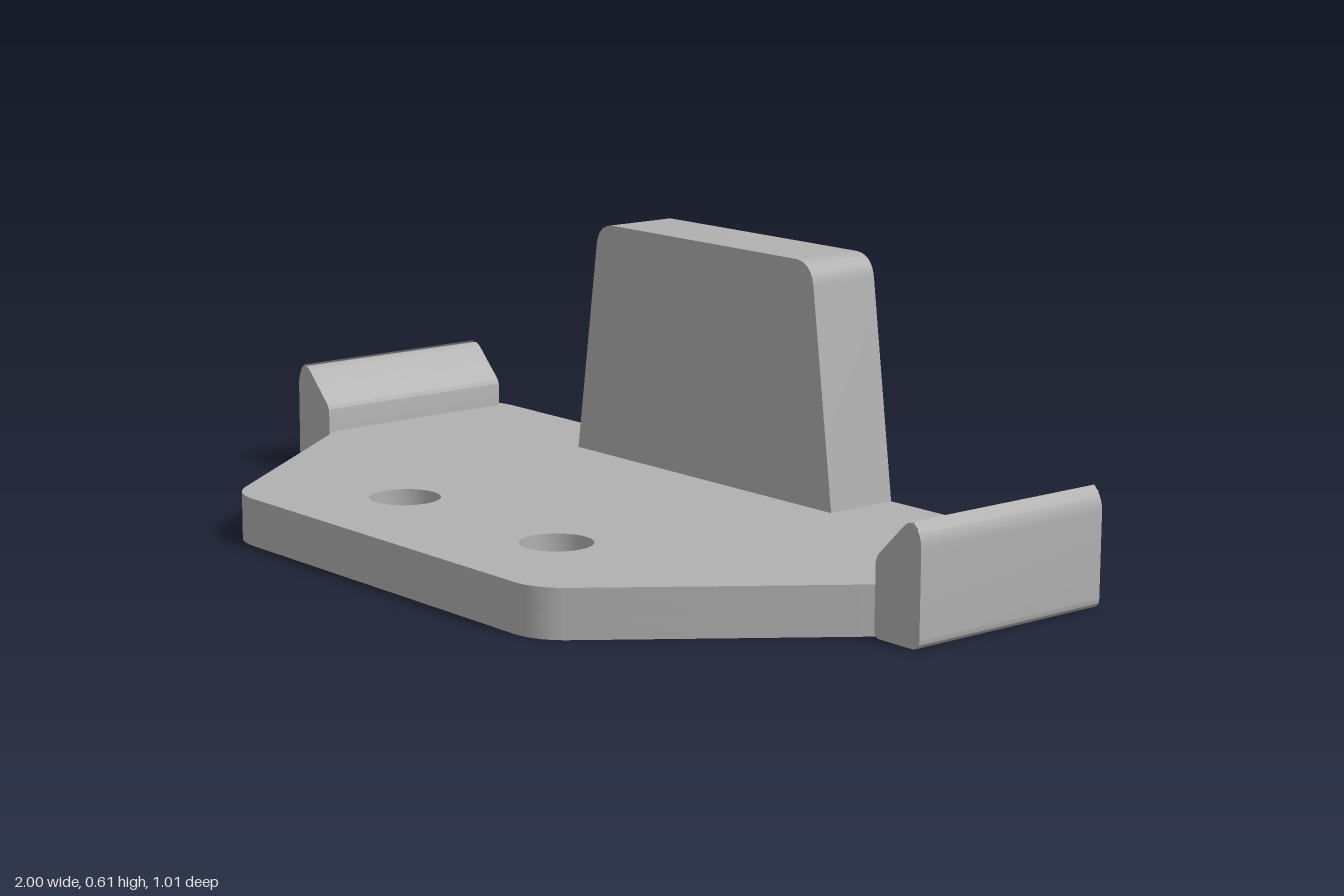
import * as THREE from 'three';
import { toCreasedNormals } from 'three/addons/utils/BufferGeometryUtils.js';

// Closed shape from [x, y, cut] corners; each corner is rounded over the cut length
function roundedShape(points) {
  const shape = new THREE.Shape();
  const n = points.length;
  points.forEach(([x, y, cut = 0], i) => {
    const corner = new THREE.Vector2(x, y);
    const toward = (p) =>
      new THREE.Vector2(p[0], p[1]).sub(corner).normalize().multiplyScalar(cut).add(corner);
    const start = toward(points[(i + n - 1) % n]);
    const end = toward(points[(i + 1) % n]);
    if (i === 0) shape.moveTo(start.x, start.y);
    else shape.lineTo(start.x, start.y);
    if (cut > 0) shape.quadraticCurveTo(corner.x, corner.y, end.x, end.y);
  });
  shape.closePath();
  return shape;
}

function extrude(shape, depth) {
  const geometry = new THREE.ExtrudeGeometry(shape, { depth, bevelEnabled: false, curveSegments: 12 });
  return toCreasedNormals(geometry, 0.5);
}

export function createModel() {
  const model = new THREE.Group();
  model.name = 'mountingBracket';
  const grey = new THREE.MeshStandardMaterial({ color: 0xb0b0b0 });
  grey.name = 'grey';

  const add = (name, geometry) => {
    const mesh = new THREE.Mesh(geometry, grey);
    mesh.name = name;
    model.add(mesh);
    return mesh;
  };

  // Base plate in two layers: wide counterbores below, screw holes above
  const plateLayer = (name, y, height, holeRadius) => {
    const shape = roundedShape([
      [-0.5, -0.503, 0.065], [0.5, -0.503, 0.065], [0.885, 0.02],
      [0.95, 0.02], [0.95, 0.475], [0.9, 0.503, 0.045],
      [-0.9, 0.503, 0.045], [-0.95, 0.475], [-0.95, 0.02], [-0.885, 0.02],
    ]);
    for (const x of [-0.25, 0.25]) {
      shape.holes.push(new THREE.Path().absarc(x, -0.25, holeRadius, 0, Math.PI * 2, true));
    }
    const geometry = extrude(shape, height).rotateX(-Math.PI / 2);
    add(name, geometry).position.y = y;
  };
  plateLayer('plateLower', 0, 0.05, 0.13);
  plateLayer('plateUpper', 0.05, 0.05, 0.074);

  // Upright tapered tab along the back edge
  const tab = roundedShape([
    [-0.407, 0.09], [0.407, 0.09], [0.337, 0.605, 0.05], [-0.337, 0.605, 0.05],
  ]);
  add('backTab', extrude(tab, 0.168)).position.z = -0.503;

  // Side clips with a sloped inner lip
  for (const side of [-1, 1]) {
    const corners = [
      [0.882, 0, 0.015], [1, 0, 0.02], [1, 0.22, 0.03],
      [0.972, 0.245, 0.025], [0.882, 0.155, 0.015],
    ].map(([x, y, cut]) => [x * side, y, cut]);
    const clip = extrude(roundedShape(corners), 0.482);
    add(side > 0 ? 'leftClip' : 'rightClip', clip).position.z = -0.482;
  }
  return model;
}
